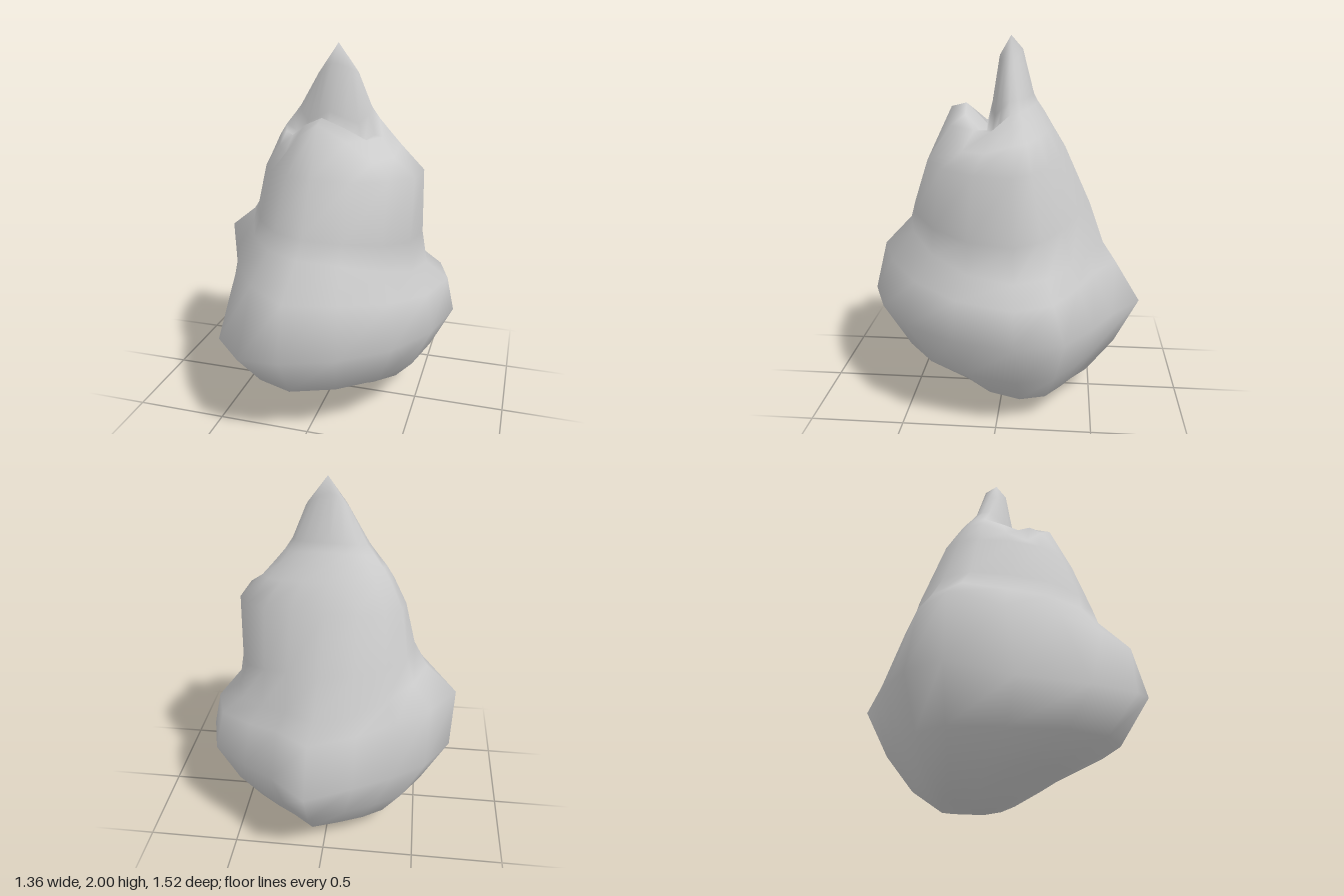
import * as THREE from 'three';

// Each ring, bottom to top: front z,y | back z,y | left x,y | right x,y
const RINGS = [
  [0.13, 0.08, -0.32, 0.02, 0.25, 0.04, -0.18, 0.04],
  [0.32, 0.18, -0.48, 0.13, 0.44, 0.14, -0.40, 0.15],
  [0.60, 0.30, -0.63, 0.32, 0.56, 0.30, -0.52, 0.30],
  [0.76, 0.55, -0.76, 0.57, 0.68, 0.54, -0.67, 0.56],
  [0.69, 0.83, -0.62, 0.80, 0.64, 0.73, -0.68, 0.90],
  [0.53, 1.00, -0.55, 0.90, 0.52, 0.82, -0.52, 1.03],
  [0.50, 1.10, -0.47, 1.12, 0.49, 1.00, -0.45, 1.13],
  [0.40, 1.38, -0.34, 1.40, 0.485, 1.35, -0.39, 1.36],
  // front lobe rolls over into the notch
  [0.28, 1.63, -0.26, 1.53, 0.36, 1.48, -0.32, 1.50],
  [0.20, 1.65, -0.22, 1.60, 0.29, 1.56, -0.28, 1.56],
  [0.09, 1.54, -0.18, 1.66, 0.24, 1.62, -0.23, 1.62],
  // rear spike
  [0.06, 1.66, -0.16, 1.70, 0.20, 1.68, -0.19, 1.67],
  [0.02, 1.90, -0.10, 1.93, 0.13, 1.85, -0.09, 1.84],
];

// Uneven plan of the wide base, from left through front, right and back
const PLAN = [1, 0.96, 0.94, 0.95, 1, 1.03, 1.04, 0.95, 1, 0.87, 0.79, 0.83, 1, 0.82, 0.85, 0.97];

// How strongly each ring follows the base plan (zero above)
const UNEVEN = [1, 1, 1, 1, 1, 0.6, 0.3];

// Drop of the lobe's shoulders on either side of its crest, by ring
const DIP = { 8: 0.12, 9: 0.07, 10: 0.14, 11: 0.07 };

// Front right corner of the base, by ring: pulled in, lowered
const CORNER = { 3: [0, 0.08], 4: [0.16, 0], 5: [0.06, 0] };

function lumpGeometry() {
  const n = PLAN.length;
  const pos = [0.04, 0, -0.1];
  RINGS.forEach(([fz, fy, bz, by, lx, ly, rx, ry], k) => {
    const cz = THREE.MathUtils.lerp(-0.13, -0.04, k / (RINGS.length - 1));
    const uneven = UNEVEN[k] ?? 0;
    const dip = DIP[k] ?? 0;
    const [tuck, sag] = CORNER[k] ?? [0, 0];
    for (let i = 0; i < n; i++) {
      const t = (i / n) * Math.PI * 2;
      const c = Math.cos(t), s = Math.sin(t), diagonal = Math.sin(2 * t);
      const corner = s > 0 ? Math.max(0, -diagonal) : 0;
      const f = 1 + (PLAN[i] - 1) * uneven + 0.06 * (1 - uneven) * diagonal - tuck * corner;
      // front and back ridges sit slightly off centre, the right flank leans backwards
      const x = (c > 0 ? lx : -rx) * c * f - 0.06 * uneven * s ** 5;
      const z = cz + (s > 0 ? fz - cz : cz - bz) * s * f + 0.08 * uneven * Math.min(c, 0);
      const y = (c > 0 ? ly : ry) * c * c + (s > 0 ? fy : by) * s * s
        - (s > 0 ? dip * diagonal ** 2 : 0) - sag * corner;
      pos.push(x, y, z);
    }
  });
  const top = pos.length / 3;
  pos.push(0.02, 2, -0.04);

  // Skin the rings and close both poles
  const index = [];
  const at = (k, i) => 1 + k * n + (i % n);
  const last = RINGS.length - 1;
  for (let i = 0; i < n; i++) {
    index.push(0, at(0, i), at(0, i + 1));
    for (let k = 0; k < last; k++) {
      const a = at(k, i), b = at(k, i + 1), c = at(k + 1, i), d = at(k + 1, i + 1);
      index.push(a, c, b, b, c, d);
    }
    index.push(at(last, i), top, at(last, i + 1));
  }
  const geo = new THREE.BufferGeometry();
  geo.setAttribute('position', new THREE.Float32BufferAttribute(pos, 3));
  geo.setIndex(index);
  geo.computeVertexNormals();
  return geo;
}

export function createModel() {
  const group = new THREE.Group();
  const body = new THREE.Mesh(lumpGeometry(), new THREE.MeshStandardMaterial({ color: 0xcccccc }));
  body.name = 'peakedBody';
  group.add(body);
  return group;
}
